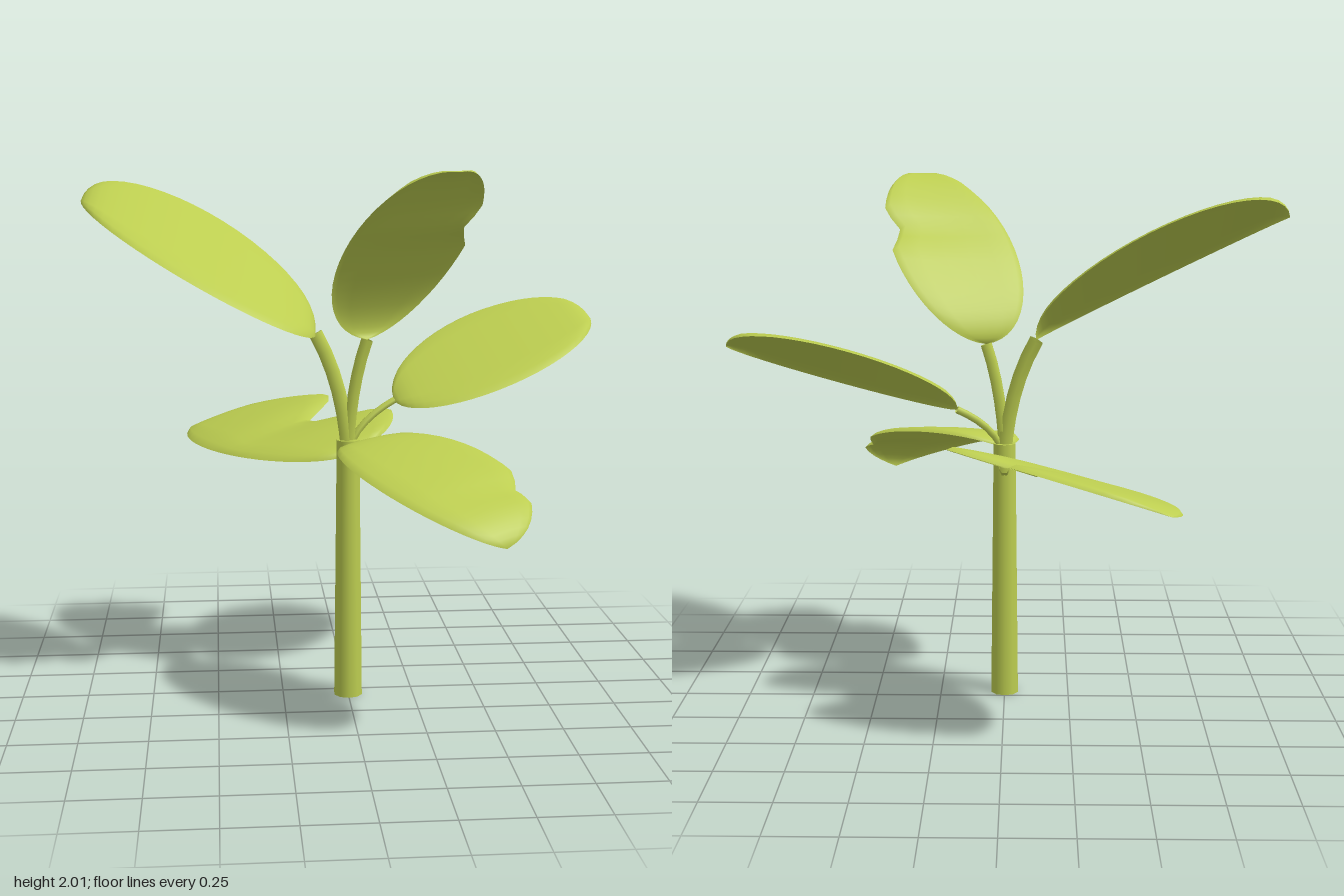
import * as THREE from 'three';

const V = (p) => new THREE.Vector3(...p);

// Blade: an oval strung along a straight midrib. left and right are the
// reach of each edge at its widest; a notch is [place, depth, half width].
function bladeGeometry({ base, tip, left, right, cup, leftNotch, rightNotch }) {
  const cols = [0, 0.05, 0.2, 0.4, 0.6, 0.8, 0.95, 1];
  const steps = 24, n = cols.length;
  const pos = [], index = [];

  const edge = (t, angle, reach, notch) => {
    let w = Math.sin(angle);
    if (notch) w *= 1 - notch[1] * Math.max(0, 1 - Math.abs(t - notch[0]) / notch[2]);
    return V(base).lerp(V(tip), t).addScaledVector(V(reach), w);
  };

  for (let i = 0; i <= steps; i++) {
    const angle = (Math.PI * i) / steps;
    const t = (1 - Math.cos(angle)) / 2;
    const a = edge(t, angle, left, leftNotch);
    const b = edge(t, angle, right, rightNotch);
    const width = a.distanceTo(b);
    for (const u of cols) {
      const p = a.clone().lerp(b, u);
      // folded rim plus overall cupping
      const rim = u > 0 && u < 1 ? Math.min(0.015, width * 0.05) : 0;
      p.y += rim + cup * width * 4 * u * (1 - u);
      pos.push(p.x, p.y, p.z);
    }
  }
  for (let i = 0; i < steps; i++) {
    for (let j = 0; j < n - 1; j++) {
      const a = i * n + j, c = a + n;
      if (i < steps - 1) index.push(a + 1, c + 1, c);
      if (i > 0) index.push(a, a + 1, c);
    }
  }
  const g = new THREE.BufferGeometry();
  g.setAttribute('position', new THREE.Float32BufferAttribute(pos, 3));
  g.setIndex(index);
  g.computeVertexNormals();
  return g;
}

// Stalk: rises from the stem top, then bends out to the base of the blade
function stalkGeometry({ base, thick }) {
  const start = V([0, Math.min(0.95, base[1] - 0.06), 0.055]);
  const end = V(base);
  const bend = start.clone().lerp(end, 0.15);
  bend.y = start.y + (end.y - start.y) * 0.6;
  return new THREE.TubeGeometry(new THREE.QuadraticBezierCurve3(start, bend, end), 6, thick, 6);
}

const LEAVES = [
  {
    name: 'upperRightLeaf', cup: 0, thick: 0.03,
    base: [-0.12, 1.4, 0.03], tip: [-1, 1.88, -0.31],
    left: [0.01, -0.05, 0.38], right: [0.05, 0.19, -0.23],
  },
  {
    name: 'upperFrontLeaf', cup: -0.02, thick: 0.024,
    base: [0.07, 1.38, 0.07], tip: [0.34, 2, 0.53],
    left: [0.22, 0.04, -0.18], right: [-0.24, 0.03, 0],
    leftNotch: [0.62, 0.25, 0.12],
  },
  {
    name: 'middleLeftLeaf', cup: 0, thick: 0.014,
    base: [0.18, 1.14, 0], tip: [0.99, 1.42, -0.29],
    left: [-0.05, 0.14, -0.28], right: [0.03, -0.065, 0.27],
  },
  {
    name: 'lowerFrontLeaf', cup: 0.03, thick: 0.018,
    base: [0, 0.97, 0.1], tip: [0.48, 0.75, 0.77],
    left: [0.26, 0.12, -0.1], right: [-0.17, 0.05, 0.12],
    leftNotch: [0.75, 0.15, 0.1],
  },
  {
    name: 'lowerBackLeaf', cup: 0.02, thick: 0.02,
    base: [0, 0.92, -0.03], tip: [-0.57, 0.92, -0.77],
    left: [-0.17, -0.035, 0.12], right: [0.4, 0.15, -0.11],
    rightNotch: [0.47, 0.7, 0.2],
  },
];

export function createModel() {
  const plant = new THREE.Group();
  plant.name = 'plant';
  const green = new THREE.MeshStandardMaterial({ color: 0xbccd50, side: THREE.DoubleSide });
  green.name = 'leafGreen';

  const add = (parent, name, geometry) => {
    const mesh = new THREE.Mesh(geometry, green);
    mesh.name = name;
    parent.add(mesh);
    return mesh;
  };

  // Main stem
  add(plant, 'stem', new THREE.CylinderGeometry(0.044, 0.055, 1, 10)).position.set(0, 0.5, 0.055);

  // Leaves, each with its stalk
  for (const leaf of LEAVES) {
    const group = new THREE.Group();
    group.name = leaf.name;
    add(group, 'blade', bladeGeometry(leaf));
    add(group, 'stalk', stalkGeometry(leaf));
    plant.add(group);
  }
  return plant;
}
